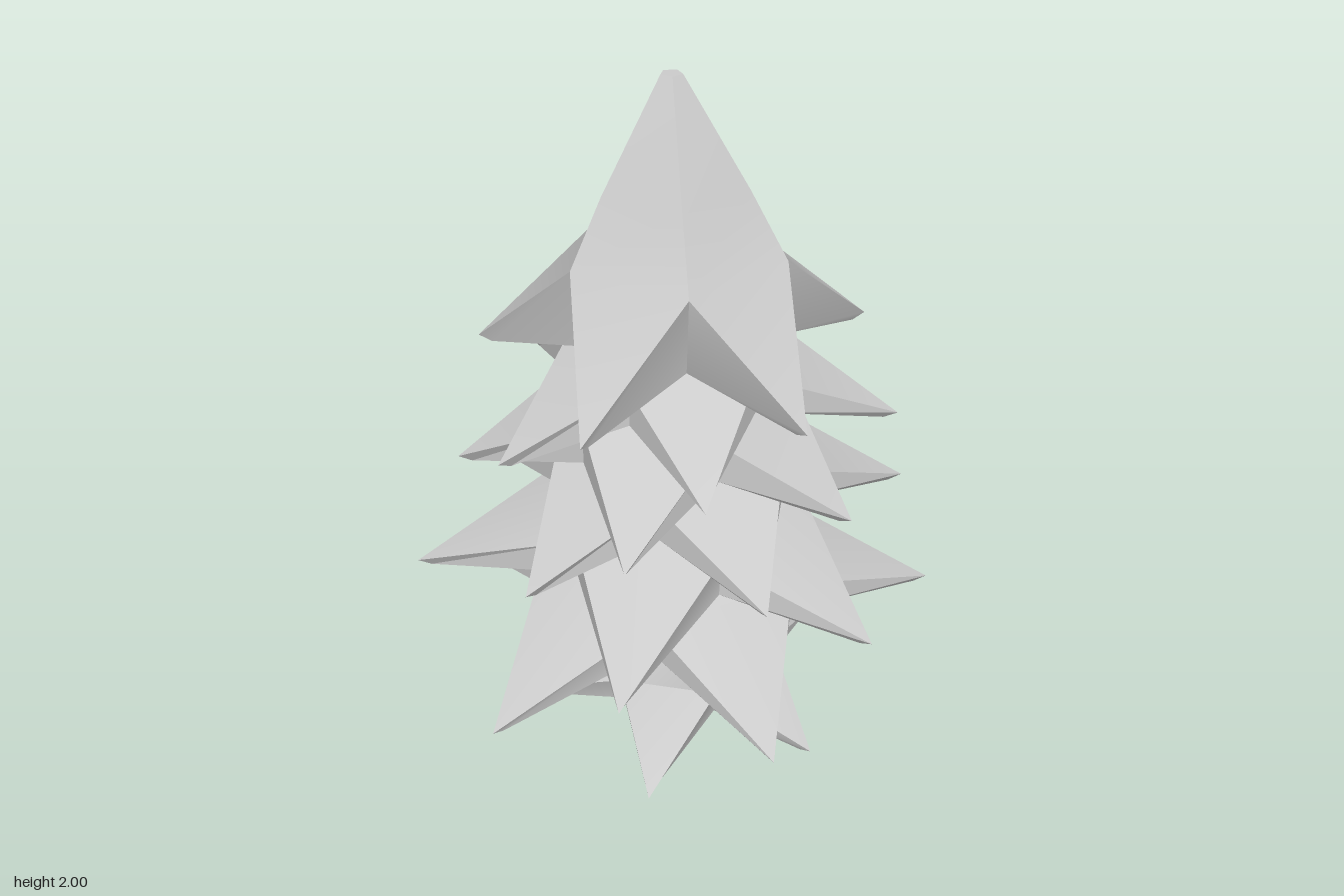
import * as THREE from 'three';
import { toCreasedNormals } from 'three/addons/utils/BufferGeometryUtils.js';

// One five-pointed star tier. tips: [x, z] going anticlockwise seen from above.
// crown: rings [y, radius, centreX, centreZ] from the notches upwards.
function starTier(name, { tips, tipY, notch, under, underY, crown, centre = [0, 0] }) {
  const n = tips.length;
  const at = (dir, r, y, c = centre) => [c[0] + dir[0] * r, y, c[1] + dir[1] * r];
  const unit = (x, z) => { const l = Math.hypot(x, z); return [x / l, z / l]; };

  // Notch directions bisect neighbouring tips
  const dirs = tips.map((t, i) => {
    const a = unit(...tips[(i + n - 1) % n]), b = unit(...t);
    return unit(a[0] + b[0], a[1] + b[1]);
  });
  const [notchY, notchR] = notch;
  const top = tips.map(([x, z]) => [x, tipY, z]);
  const low = tips.map(([x, z]) => {
    const d = unit(x, z);
    return [x - d[0] * 0.04, tipY - 0.017, z - d[1] * 0.04];
  });
  const upper = dirs.map((d) => at(d, notchR, notchY));
  const lower = dirs.map((d) => at(d, notchR * under, underY));
  const base = [centre[0], underY, centre[1]];
  const rings = [upper, ...crown.map(([y, r, cx = 0, cz = 0]) => dirs.map((d) => at(d, r, y, [cx, cz])))];
  const end = rings[rings.length - 1];
  const last = crown[crown.length - 1];
  const peak = [last[2] ?? 0, last[0], last[3] ?? 0];

  const pos = [];
  const tri = (...p) => p.forEach((v) => pos.push(...v));
  const quad = (a, b, c, d) => { tri(a, b, c); tri(a, c, d); };
  for (let i = 0; i < n; i++) {
    const j = (i + 1) % n;
    // Crown walls and cap
    for (let k = 0; k + 1 < rings.length; k++) quad(rings[k][i], rings[k][j], rings[k + 1][j], rings[k + 1][i]);
    tri(peak, end[i], end[j]);
    // Branch: top face, two sides and underside
    tri(upper[i], top[i], upper[j]);
    quad(low[i], lower[j], upper[j], top[i]);
    quad(lower[i], low[i], top[i], upper[i]);
    tri(lower[j], low[i], lower[i]);
    tri(base, lower[j], lower[i]);
  }
  const g = new THREE.BufferGeometry();
  g.setAttribute('position', new THREE.Float32BufferAttribute(pos, 3));
  const mesh = new THREE.Mesh(toCreasedNormals(g, Math.PI / 6), new THREE.MeshStandardMaterial({ color: 0xcccccc }));
  mesh.name = name;
  return mesh;
}

export function createModel() {
  const tree = new THREE.Group();
  tree.name = 'pineTree';

  // Trunk with splayed roots
  tree.add(starTier('trunk', {
    tips: [[0.07, 0.56], [0.54, 0.07], [0.14, -0.455], [-0.465, -0.26], [-0.43, 0.39]],
    tipY: 0.018, notch: [0.18, 0.285], under: 0.95, underY: 0.1,
    crown: [[0.42, 0.19, -0.005, 0.03], [0.62, 0.15]], centre: [0, 0.045],
  }));

  // Branch tiers, bottom to top: tip height, notch height and radius, underside height
  const tiers = [
    [0.317, 0.53, 0.41, 0.43, [[-0.265, 0.735], [0.69, 0.445], [0.578, -0.523], [-0.353, -0.715], [-0.79, 0.142]]],
    [0.517, 0.72, 0.385, 0.61, [[0.122, 0.72], [0.787, 0.015], [0.225, -0.738], [-0.648, -0.449], [-0.6, 0.478]]],
    [0.712, 0.91, 0.355, 0.80, [[-0.19, 0.612], [0.605, 0.372], [0.512, -0.44], [-0.27, -0.603], [-0.637, 0.12]]],
    [0.877, 1.09, 0.34, 0.97, [[0.13, 0.603], [0.687, 0.01], [0.222, -0.618], [-0.517, -0.377], [-0.502, 0.39]]],
    [1.038, 1.24, 0.31, 1.13, [[-0.31, 0.49], [0.45, 0.465], [0.558, -0.27], [-0.09, -0.6], [-0.587, -0.05]]],
  ];
  tiers.forEach(([tipY, y, r, underY, tips], i) => tree.add(starTier(`branchTier${i + 1}`, {
    tips, tipY, notch: [y, r], under: 1, underY, crown: [[y + 0.13, r * 0.55]],
  })));

  // Leaning crown
  tree.add(starTier('crown', {
    tips: [[-0.02, 0.56], [0.607, 0.17], [0.34, -0.503], [-0.362, -0.462], [-0.513, 0.23]],
    tipY: 1.195, notch: [1.51, 0.317], under: 0.86, underY: 1.27,
    crown: [[1.7, 0.215, 0.025, -0.035], [2, 0.032, 0.035, -0.055]], centre: [0.02, -0.02],
  }));
  return tree;
}
